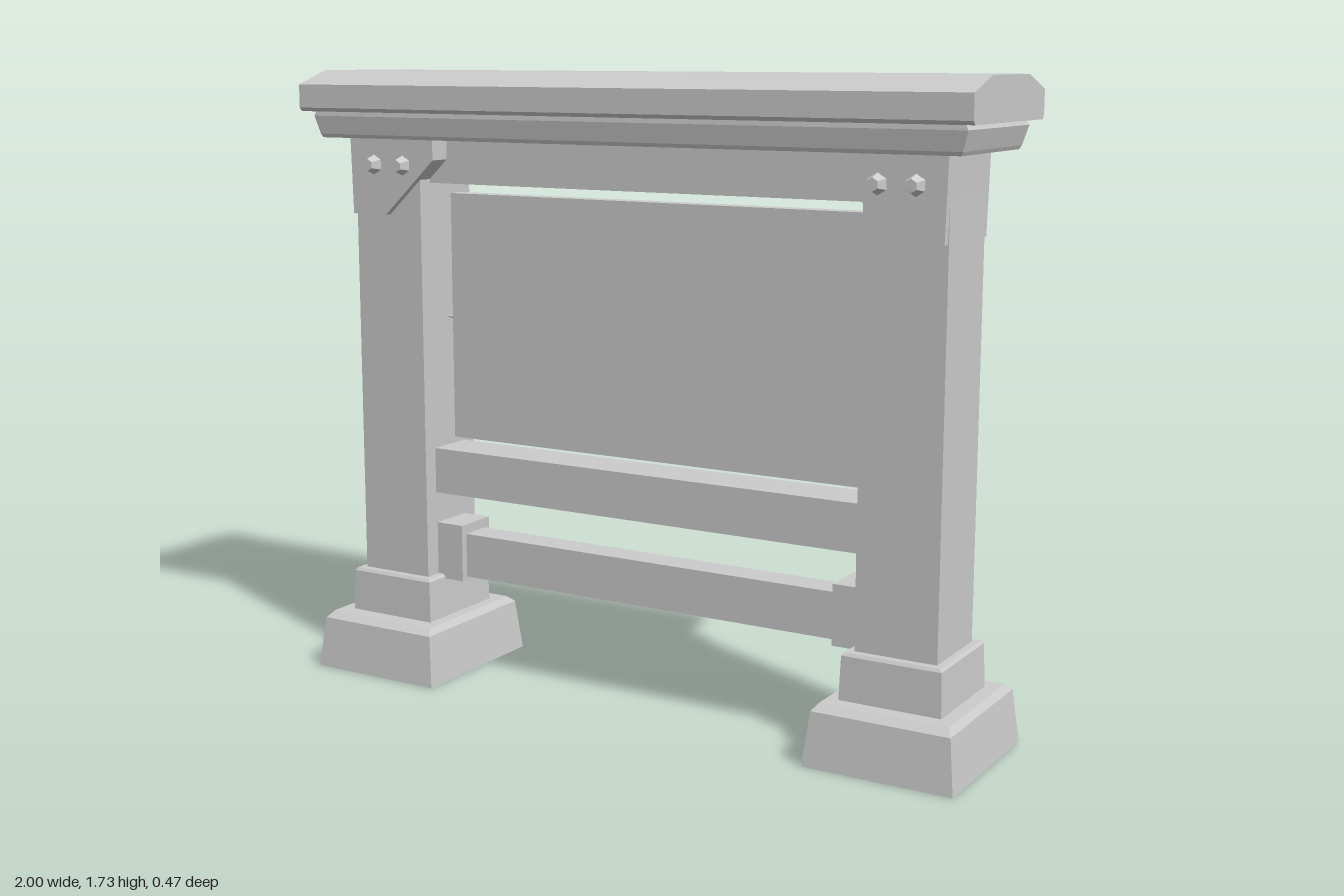
import * as THREE from 'three';

const material = new THREE.MeshStandardMaterial({ color: 0xcccccc, flatShading: true });

function add(parent, name, geometry, x = 0, y = 0, z = 0) {
  const mesh = new THREE.Mesh(geometry, material);
  mesh.name = name;
  mesh.position.set(x, y, z);
  parent.add(mesh);
  return mesh;
}

// Box given by its x and y ranges and its half depth
function bar(parent, name, x0, x1, y0, y1, halfZ) {
  return add(parent, name, new THREE.BoxGeometry(x1 - x0, y1 - y0, halfZ * 2), (x0 + x1) / 2, (y0 + y1) / 2);
}

// Stack of rectangular sections [y, halfX, halfZ], capped at both ends
function stack(sections) {
  const points = [], index = [];
  for (const [y, hx, hz] of sections) points.push(-hx, y, hz, hx, y, hz, hx, y, -hz, -hx, y, -hz);
  const last = (sections.length - 1) * 4;
  for (let s = 0; s < last; s += 4) {
    for (let i = 0; i < 4; i++) {
      const a = s + i, b = s + (i + 1) % 4;
      index.push(a, b, b + 4, a, b + 4, a + 4);
    }
  }
  index.push(0, 2, 1, 0, 3, 2, last, last + 1, last + 2, last, last + 2, last + 3);
  const geometry = new THREE.BufferGeometry();
  geometry.setAttribute('position', new THREE.Float32BufferAttribute(points, 3));
  geometry.setIndex(index);
  const flat = geometry.toNonIndexed();
  flat.computeVertexNormals();
  return flat;
}

// Outline extruded symmetrically about z = 0
function slab(outline, depth) {
  const shape = new THREE.Shape(outline.map(([x, y]) => new THREE.Vector2(x, y)));
  return new THREE.ExtrudeGeometry(shape, { depth, bevelEnabled: false }).translate(0, 0, -depth / 2);
}

function createSide(side) {
  const group = new THREE.Group();
  group.name = side > 0 ? 'leftSupport' : 'rightSupport';
  const X = (a, b) => (side > 0 ? [a, b] : [-b, -a]);

  // Stepped foot and post
  add(group, 'foot', stack([[0, 0.205, 0.228], [0.145, 0.189, 0.212], [0.163, 0.175, 0.19]]), side * 0.79);
  add(group, 'postCollar', stack([[0.155, 0.14, 0.146], [0.28, 0.136, 0.142], [0.288, 0.13, 0.136]]), side * 0.787);
  bar(group, 'post', ...X(0.675, 0.9), 0.27, 1.55, 0.115);

  // Angled bracket wrapped around the top of the post
  const outline = [[0.903, 1.55], [0.615, 1.55], [0.615, 1.487], [0.782, 1.33], [0.897, 1.33]];
  add(group, 'cornerBracket', slab(outline.map(([x, y]) => [side * x, y]), 0.27));

  // Two faceted bolts on the front and the back
  for (const face of [1, -1]) {
    for (const x of [0.72, 0.82]) {
      const bolt = new THREE.CylinderGeometry(0.017, 0.029, 0.034, 6).rotateX(face * Math.PI / 2);
      add(group, 'bolt', bolt, side * x, 1.47, face * 0.148);
    }
  }

  // Socket that holds the low stretcher
  bar(group, 'stretcherSocket', ...X(0.588, 0.69), 0.275, 0.44, 0.066);
  return group;
}

export function createModel() {
  const model = new THREE.Group();
  model.name = 'signFrame';

  model.add(createSide(1), createSide(-1));

  // Cross rails
  bar(model, 'topRail', -0.69, 0.69, 1.42, 1.55, 0.07);
  bar(model, 'lowerRail', -0.69, 0.69, 0.53, 0.66, 0.07);
  bar(model, 'stretcher', -0.62, 0.62, 0.285, 0.412, 0.045);

  // Board hung between the posts, with small pins at its edges
  bar(model, 'board', -0.637, 0.635, 0.69, 1.39, 0.025);
  const pins = [[0.645, 1.4, -Math.PI / 4], [0.645, 0.68, -Math.PI * 0.75], [-0.655, 1.035, Math.PI / 2]];
  for (const [x, y, turn] of pins) {
    add(model, 'boardPin', new THREE.ConeGeometry(0.01, 0.05, 4), x, y).rotation.z = turn;
  }

  // Moulding and chamfered cap along the top
  add(model, 'moulding', stack([
    [1.545, 0.955, 0.19], [1.555, 0.96, 0.194], [1.605, 0.975, 0.202], [1.625, 0.965, 0.2],
  ]));
  const cap = [[-0.225, 1.618], [0.225, 1.618], [0.234, 1.628], [0.234, 1.692], [0.122, 1.73],
    [-0.122, 1.73], [-0.234, 1.692], [-0.234, 1.628]];
  add(model, 'cap', slab(cap, 2).rotateY(Math.PI / 2));

  return model;
}
